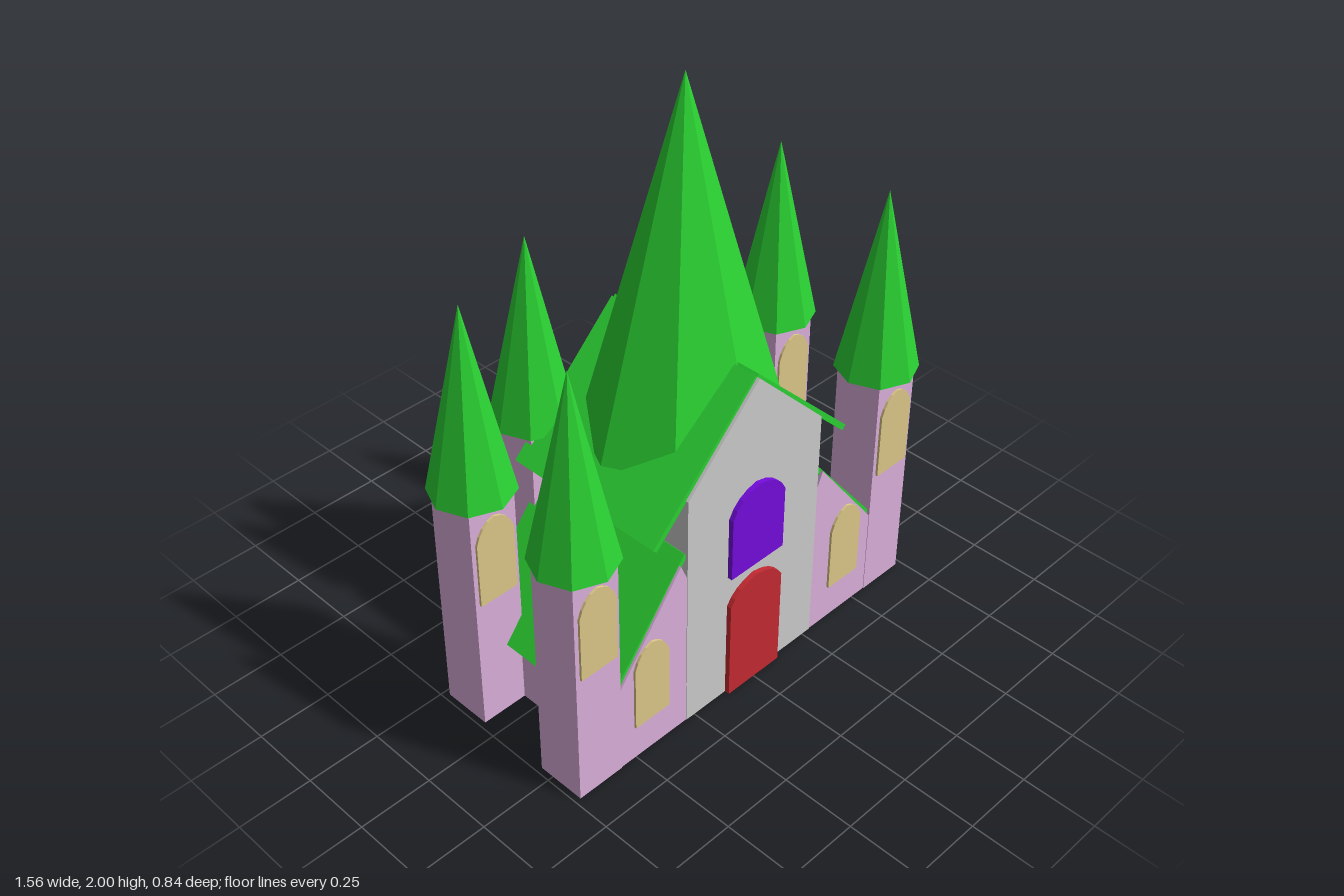
import * as THREE from 'three';

const mat = (color) => new THREE.MeshStandardMaterial({ color, flatShading: true, side: THREE.DoubleSide });

export function createModel() {
  const model = new THREE.Group();
  model.name = 'castle';
  const stone = mat(0xcccccc), pink = mat(0xddb0dd), green = mat(0x2bd233);
  const gold = mat(0xdcc888), red = mat(0xc42a32), purple = mat(0x740cdc);

  function add(name, geometry, material, x = 0, y = 0, z = 0) {
    const mesh = new THREE.Mesh(geometry, material);
    mesh.name = name;
    mesh.position.set(x, y, z);
    model.add(mesh);
    return mesh;
  }

  // Upright plate cut from an outline, its back at z
  function plate(name, points, depth, material, z) {
    const shape = new THREE.Shape(points.map(([x, y]) => new THREE.Vector2(x, y)));
    return add(name, new THREE.ExtrudeGeometry(shape, { depth, bevelEnabled: false }), material, 0, 0, z);
  }

  // Panel with a low arched top
  function arch(name, half, height, rise, depth, material, x, y, z) {
    const s = new THREE.Shape();
    const spring = height - rise;
    s.moveTo(-half, 0);
    s.lineTo(half, 0);
    s.lineTo(half, spring);
    s.quadraticCurveTo(half * 0.75, height - 0.012, 0, height);
    s.quadraticCurveTo(-half * 0.75, height - 0.012, -half, spring);
    const g = new THREE.ExtrudeGeometry(s, { depth, bevelEnabled: false, curveSegments: 4 });
    return add(name, g, material, x, y, z);
  }

  // Sloping roof slab between two points in the front plane
  function roofSlab(name, x1, y1, x2, y2, thickness) {
    const length = Math.hypot(x2 - x1, y2 - y1);
    const slab = add(name, new THREE.BoxGeometry(length, thickness, 0.585), green,
      (x1 + x2) / 2, (y1 + y2) / 2, 0.0675);
    slab.rotation.z = Math.atan2(y2 - y1, x2 - x1);
  }

  // Square tower with an eight-sided spire
  function tower(x, z, withWindow) {
    add('tower', new THREE.BoxGeometry(0.17, 0.83, 0.17), pink, x, 0.415, z);
    add('towerSpire', new THREE.ConeGeometry(0.135, 0.63, 8), green, x, 1.145, z);
    if (withWindow) arch('towerWindow', 0.07, 0.305, 0.075, 0.008, gold, x, 0.475, z + 0.085);
  }

  // Nave: hollow, open below, with a slit at the top of the back gable
  plate('naveFront', [[-0.285, 0], [0.285, 0], [0.285, 0.865], [0, 1.15], [-0.285, 0.865]], 0.012, stone, 0.358);
  plate('naveBack', [[-0.285, 0], [0.285, 0], [0.285, 0.865], [0.015, 1.135], [0.008, 0.86],
    [-0.008, 0.86], [-0.015, 1.135], [-0.285, 0.865]], 0.012, stone, -0.225);

  for (const s of [-1, 1]) {
    add('naveSide', new THREE.BoxGeometry(0.012, 0.86, 0.58), stone, s * 0.279, 0.43, 0.07);
    roofSlab('naveRoof', 0, 1.15, s * 0.408, 0.752, 0.02);

    // Side wing
    const outline = [[0.285, 0], [0.565, 0], [0.565, 0.31], [0.31, 0.64], [0.285, 0.58]].map(([x, y]) => [s * x, y]);
    plate('wingFront', outline, 0.012, pink, 0.356);
    plate('wingBack', outline, 0.012, stone, -0.223);
    add('wingSide', new THREE.BoxGeometry(0.012, 0.3, 0.58), pink, s * 0.562, 0.15, 0.07);
    roofSlab('wingRoof', s * 0.282, 0.665, s * 0.618, 0.252, 0.018);
    arch('wingWindow', 0.07, 0.305, 0.075, 0.008, gold, s * 0.435, 0.13, 0.368);

    // Towers
    tower(s * 0.645, 0.285, true);
    tower(s * 0.645, -0.145, true);
    tower(s * 0.285, -0.285, false);
  }

  // Broad central spire
  const spire = add('mainSpire', new THREE.ConeGeometry(1, 1.14, 8), green, 0, 1.43, 0.07);
  spire.scale.set(0.34, 1, 0.285);

  // Door and windows of the nave
  arch('door', 0.113, 0.43, 0.07, 0.018, red, 0, 0, 0.369);
  arch('frontWindow', 0.113, 0.305, 0.08, 0.018, purple, 0, 0.475, 0.369);
  const rose = add('roundWindow', new THREE.CylinderGeometry(0.145, 0.145, 0.022, 24), gold, 0, 0.63, -0.234);
  rose.rotation.x = Math.PI / 2;

  return model;
}
